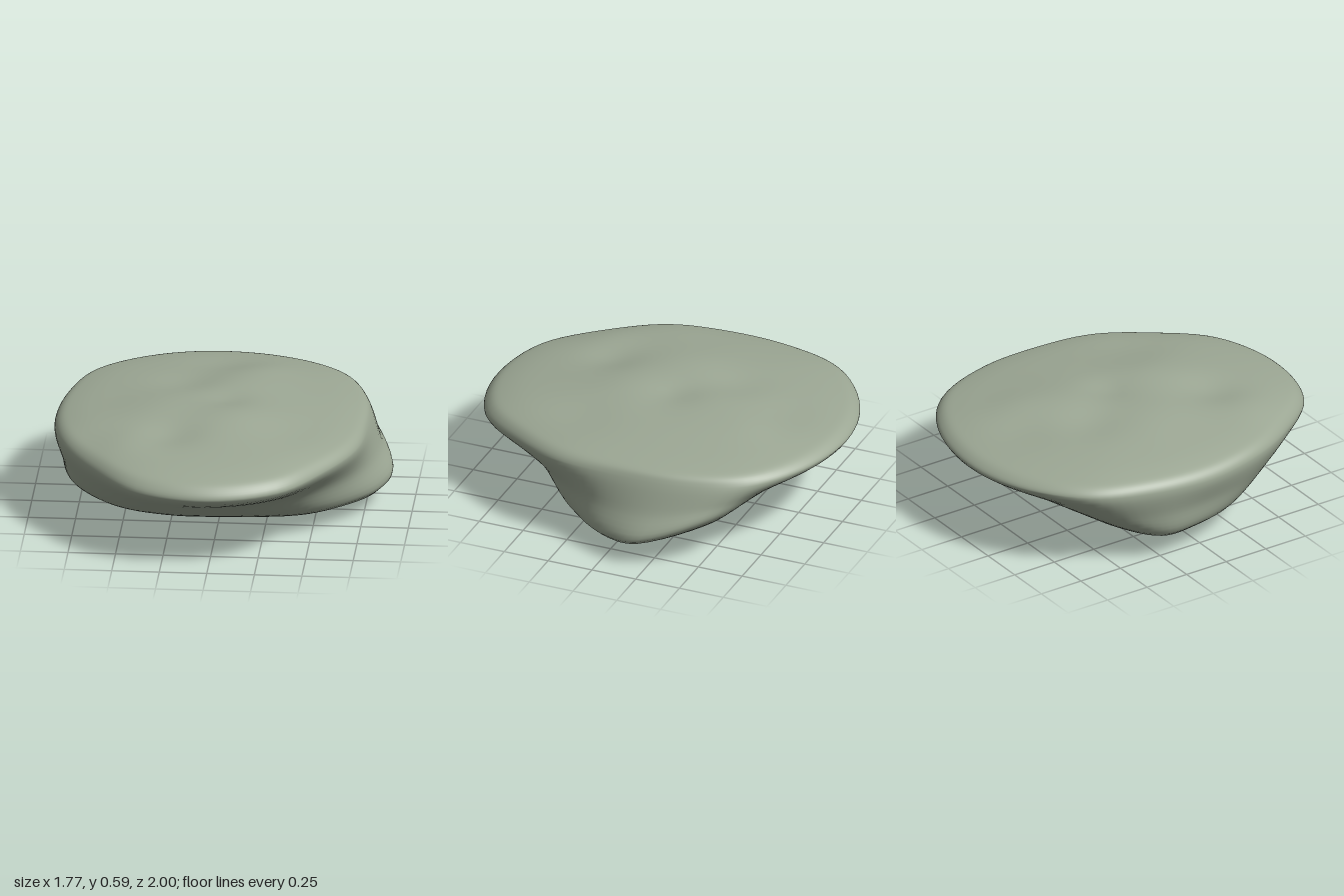
import * as THREE from 'three';
import { mergeVertices } from 'three/addons/utils/BufferGeometryUtils.js';

const V = (x, y, z) => new THREE.Vector3(x, y, z);

// Widest outline of the slab, from +x round through +z
const rim = [
  V(.77, .46, 0), V(.73, .45, .32), V(.58, .43, .61), V(.36, .41, .88),
  V(0, .40, .995), V(-.38, .41, .91), V(-.64, .43, .63), V(-.81, .45, .34),
  V(-.88, .44, 0), V(-.85, .45, -.36), V(-.73, .46, -.68), V(-.42, .46, -.92),
  V(-.06, .46, -1), V(.33, .46, -.92), V(.61, .46, -.72), V(.75, .46, -.38),
];

// Lower shoulder: a keel wide in x, narrow in z, set back at both ends
const shoulder = [
  V(.83, .125, 0), V(.70, .125, .2), V(.5, .13, .38), V(.25, .135, .47),
  V(0, .135, .5), V(-.27, .14, .5), V(-.54, .15, .41), V(-.74, .16, .19),
  V(-.81, .16, -.05), V(-.80, .155, -.26), V(-.66, .2, -.46), V(-.33, .2, -.56),
  V(0, .2, -.59), V(.32, .21, -.58), V(.68, .28, -.59), V(.88, .155, -.21),
];

// Outward swell of the flank halfway between shoulder and rim
const swell = [
  1, .98, .97, .97, 1, 1.05, 1.04, 1.02, 1, 1.01, 1.03, 1.01, 1, 1, 1.01, 1,
];

// Gentle swells and hollows of the top: x, z, height, radius
const bumps = [
  [.06, -.32, .02, .25], [.05, .2, .018, .22], [-.32, .02, .012, .2],
  [-.2, -.32, -.018, .17], [-.05, -.64, -.012, .18], [.18, -.55, .012, .16],
  [-.24, .42, -.025, .15], [-.45, .5, .015, .17], [.4, .3, -.01, .2],
  [.02, -.06, -.015, .12],
];

const bottomCentre = V(0, .004, -.08);
const topCentre = V(-.03, .58, 0);

function stoneGeometry(around = 96, up = 60) {
  // Control rings from the underside to the top; the belly is flatter along x
  const under = s => shoulder.map((p, k) => {
    const q = bottomCentre.clone().lerp(p, s);
    const power = 2 + Math.cos(k * Math.PI / 8) ** 2;
    q.y = THREE.MathUtils.lerp(bottomCentre.y, p.y, s ** power);
    return q;
  });
  const flank = rim.map((p, k) =>
    p.clone().lerp(shoulder[k], .5).multiply(V(swell[k], 1, swell[k])));
  const crown = (s, f) => rim.map(p => {
    const q = topCentre.clone().lerp(p, s);
    q.y = p.y + (topCentre.y - p.y) * f;
    return q;
  });
  const rings = [
    shoulder.map(() => bottomCentre), under(.3), under(.65),
    shoulder, flank, rim, crown(.965, .36), crown(.87, .57),
    crown(.6, .82), crown(.3, .97), rim.map(() => topCentre),
  ];
  const loops = rings.map(r => new THREE.CatmullRomCurve3(r, true));

  // Skin: smooth curve through all rings at each step around
  const pos = [], index = [];
  for (let j = 0; j < around; j++) {
    const path = new THREE.CatmullRomCurve3(loops.map(c => c.getPoint(j / around)));
    for (let i = 0; i <= up; i++) {
      const p = path.getPoint(i / up);
      const blend = THREE.MathUtils.smoothstep(i / up, .5, .7);
      for (const [x, z, h, r] of bumps) {
        p.y += blend * h * Math.exp(-((p.x - x) ** 2 + (p.z - z) ** 2) / (r * r));
      }
      pos.push(p.x, Math.max(0, p.y), p.z);
      if (i < up) {
        const a = j * (up + 1) + i, b = ((j + 1) % around) * (up + 1) + i;
        index.push(a, a + 1, b, b, a + 1, b + 1);
      }
    }
  }
  let g = new THREE.BufferGeometry();
  g.setAttribute('position', new THREE.Float32BufferAttribute(pos, 3));
  g.setIndex(index);
  g = mergeVertices(g, 1e-5);
  g.computeVertexNormals();
  return g;
}

export function createModel() {
  const stoneGrey = new THREE.MeshStandardMaterial({ color: 0x9ca794 });
  stoneGrey.name = 'grey green stone';

  const group = new THREE.Group();
  group.name = 'flatRock';
  const stone = new THREE.Mesh(stoneGeometry(), stoneGrey);
  stone.name = 'stone';
  group.add(stone);
  return group;
}
